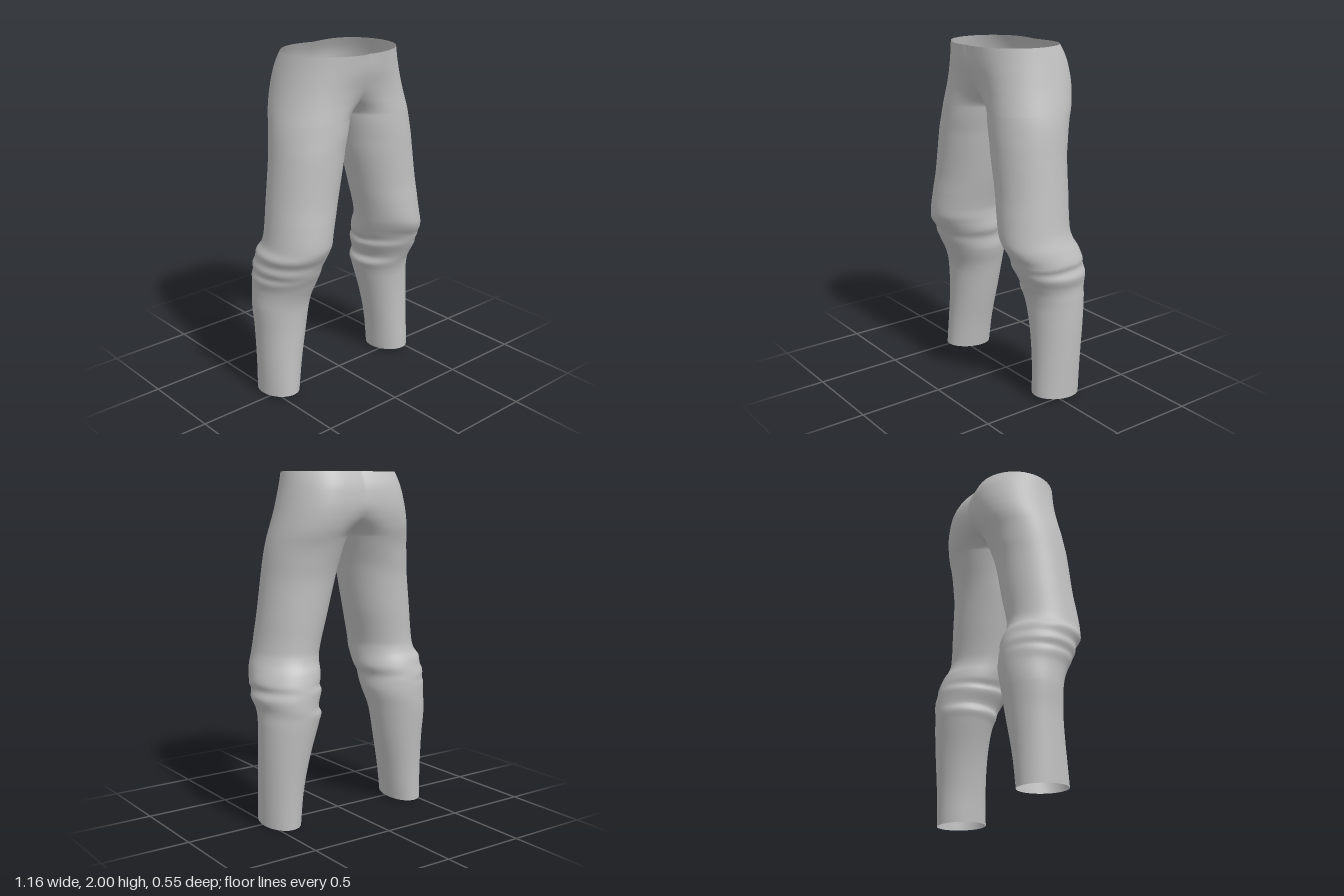
import * as THREE from 'three';
import { mergeVertices } from 'three/addons/utils/BufferGeometryUtils.js';

const MID = -0.01;      // x of the centre seam
const CROTCH = 1.635;   // height where the legs part
const HEM = 0.0125;

// Smooth curve through [height, value] pairs listed from the top down
function profile(pts) {
  const slope = (i) => {
    const p = pts[Math.max(i - 1, 0)], q = pts[Math.min(i + 1, pts.length - 1)];
    return (q[1] - p[1]) / (q[0] - p[0]);
  };
  return (y) => {
    let i = 0;
    while (i < pts.length - 2 && y < pts[i + 1][0]) i++;
    const [y0, v0] = pts[i], [y1, v1] = pts[i + 1], h = y1 - y0;
    const t = THREE.MathUtils.clamp((y - y0) / h, 0, 1), t2 = t * t, t3 = t2 * t;
    return v0 * (2 * t3 - 3 * t2 + 1) + v1 * (3 * t2 - 2 * t3)
      + h * (slope(i) * (t3 - 2 * t2 + t) + slope(i + 1) * (t3 - t2));
  };
}

// Side profile, shared by both legs
const front = profile([[2, 0.235], [1.9, 0.232], [1.75, 0.235], [1.55, 0.245], [1.2, 0.25], [1.08, 0.26],
  [0.95, 0.265], [0.9, 0.25], [0.85, 0.22], [0.78, 0.195], [0.7, 0.155], [0.6, 0.118], [0.5, 0.106], [0.3, 0.105], [0, 0.118]]);
const back = profile([[2, -0.225], [1.95, -0.25], [1.9, -0.265], [1.8, -0.272], [1.7, -0.255], [1.6, -0.22],
  [1.5, -0.195], [1.4, -0.177], [1.2, -0.165], [1, -0.155], [0.94, -0.168], [0.89, -0.195], [0.8, -0.22],
  [0.7, -0.23], [0.6, -0.226], [0.4, -0.205], [0.2, -0.186], [0, -0.178]]);

// How far each section wraps inwards: a quarter turn closes it into a leg
const wrap = profile([[2, 0.37], [1.9, 0.34], [1.8, 0.37], [1.73, 0.62], [1.68, 1.0], [1.65, 1.32], [CROTCH, Math.PI / 2]]);
const belly = profile([[2, 0.05], [1.9, 0.042], [1.8, 0.014], [1.72, 0], [1.6, 0]]);
const hipCentre = profile([[2, 0.13], [1.9, 0.15], [1.8, 0.17], [CROTCH, 0.215]]);

// Front silhouettes of the legs, as distances from x = 0
const legs = [
  {
    side: 1,
    outer: profile([[2, 0.335], [1.8, 0.39], [1.6, 0.443], [1.4, 0.468], [1.2, 0.492], [1, 0.52], [0.9, 0.552],
      [0.83, 0.57], [0.795, 0.561], [0.75, 0.576], [0.68, 0.556], [0.6, 0.556], [0.4, 0.557], [0, 0.546]]),
    inner: profile([[CROTCH, MID], [1.5, 0.022], [1.4, 0.042], [1.2, 0.092], [1, 0.14], [0.85, 0.165], [0.81, 0.182],
      [0.78, 0.172], [0.69, 0.206], [0.65, 0.188], [0.6, 0.205], [0.4, 0.265], [0.2, 0.303], [0, 0.322]]),
    fold: 0.22,
  },
  {
    side: -1,
    outer: profile([[2, 0.355], [1.8, 0.405], [1.6, 0.455], [1.4, 0.485], [1.2, 0.512], [1, 0.54], [0.94, 0.553],
      [0.9, 0.576], [0.85, 0.57], [0.81, 0.581], [0.77, 0.569], [0.74, 0.577], [0.68, 0.568], [0.55, 0.572], [0.4, 0.562], [0, 0.561]]),
    inner: profile([[CROTCH, -MID], [1.5, 0.045], [1.4, 0.066], [1.2, 0.112], [1, 0.163], [0.92, 0.168], [0.85, 0.17],
      [0.8, 0.19], [0.72, 0.192], [0.6, 0.225], [0.4, 0.267], [0.2, 0.312], [0, 0.348]]),
    fold: 0.05,
  },
];

// Section angles: front inner, outer and back inner stretches
const INNER = 12, OUTER = 24, COUNT = INNER * 2 + OUTER;
function sectionAngle(j, a) {
  if (j < INNER) return -a * (1 - j / INNER);
  if (j <= INNER + OUTER) return Math.PI * (j - INNER) / OUTER;
  return Math.PI + a * (j - INNER - OUTER) / INNER;
}

function sectionPoint(leg, y, j) {
  const above = y >= CROTCH - 1e-6;
  const a = above ? Math.min(wrap(y), Math.PI / 2) : Math.PI / 2;
  const out = leg.outer(y), inn = above ? leg.side * MID : leg.inner(y);
  const cx = above ? hipCentre(y) : THREE.MathUtils.lerp((out + inn) / 2, 0.215, Math.max(0, 1 - (CROTCH - y) / 0.15));
  const cz = (front(y) + back(y)) / 2, rz = (front(y) - back(y)) / 2;
  const u = sectionAngle(j, a), s = Math.sin(u);
  const x = cx + s * (s > 0 ? out - cx : (cx - inn) / Math.sin(a));
  let z = cz + rz * Math.cos(u);
  // Rounded belly, slanting knee fold and tilted hem
  if (y > 1.72) z += belly(y) * Math.exp(-(((x - leg.side * MID) / 0.16) ** 2)) * Math.max(0, Math.cos(u));
  const knee = Math.exp(-(((y - 0.93) / 0.14) ** 2)) * Math.max(0, Math.cos(u));
  const hem = 0.086 * Math.max(0, 1 - y / 0.3) * (z - cz);
  return [leg.side * x, y - leg.fold * knee * (x - cx) + hem, z];
}

// Section heights: dense around the crotch and knees
function heights() {
  const list = [];
  const span = (from, to, n) => { for (let i = 0; i < n; i++) list.push(from + (to - from) * i / n); };
  span(2, 1.75, 12);
  span(1.75, CROTCH, 14);
  span(CROTCH, 1.1, 20);
  span(1.1, 0.55, 44);
  span(0.55, HEM, 14);
  list.push(HEM);
  return list;
}

function trouserGeometry() {
  const ys = heights(), pos = [], idx = [], row = COUNT + 1;
  for (const leg of legs) {
    const base = pos.length / 3;
    for (const y of ys) for (let j = 0; j <= COUNT; j++) pos.push(...sectionPoint(leg, y, j));
    for (let i = 0; i < ys.length - 1; i++) {
      for (let j = 0; j < COUNT; j++) {
        const a = base + i * row + j, b = a + row, c = b + 1, d = a + 1;
        if (leg.side > 0) idx.push(a, b, c, a, c, d);
        else idx.push(a, c, b, a, d, c);
      }
    }
  }
  const raw = new THREE.BufferGeometry();
  raw.setAttribute('position', new THREE.Float32BufferAttribute(pos, 3));
  raw.setIndex(idx);
  const geometry = mergeVertices(raw, 1e-4);
  geometry.computeVertexNormals();
  return geometry;
}

export function createModel() {
  const group = new THREE.Group();
  group.name = 'trousers';
  const cloth = new THREE.MeshStandardMaterial({ color: 0xbfbfbf, side: THREE.DoubleSide });
  cloth.name = 'grey cloth';
  const mesh = new THREE.Mesh(trouserGeometry(), cloth);
  mesh.name = 'trouserCloth';
  group.add(mesh);
  return group;
}
